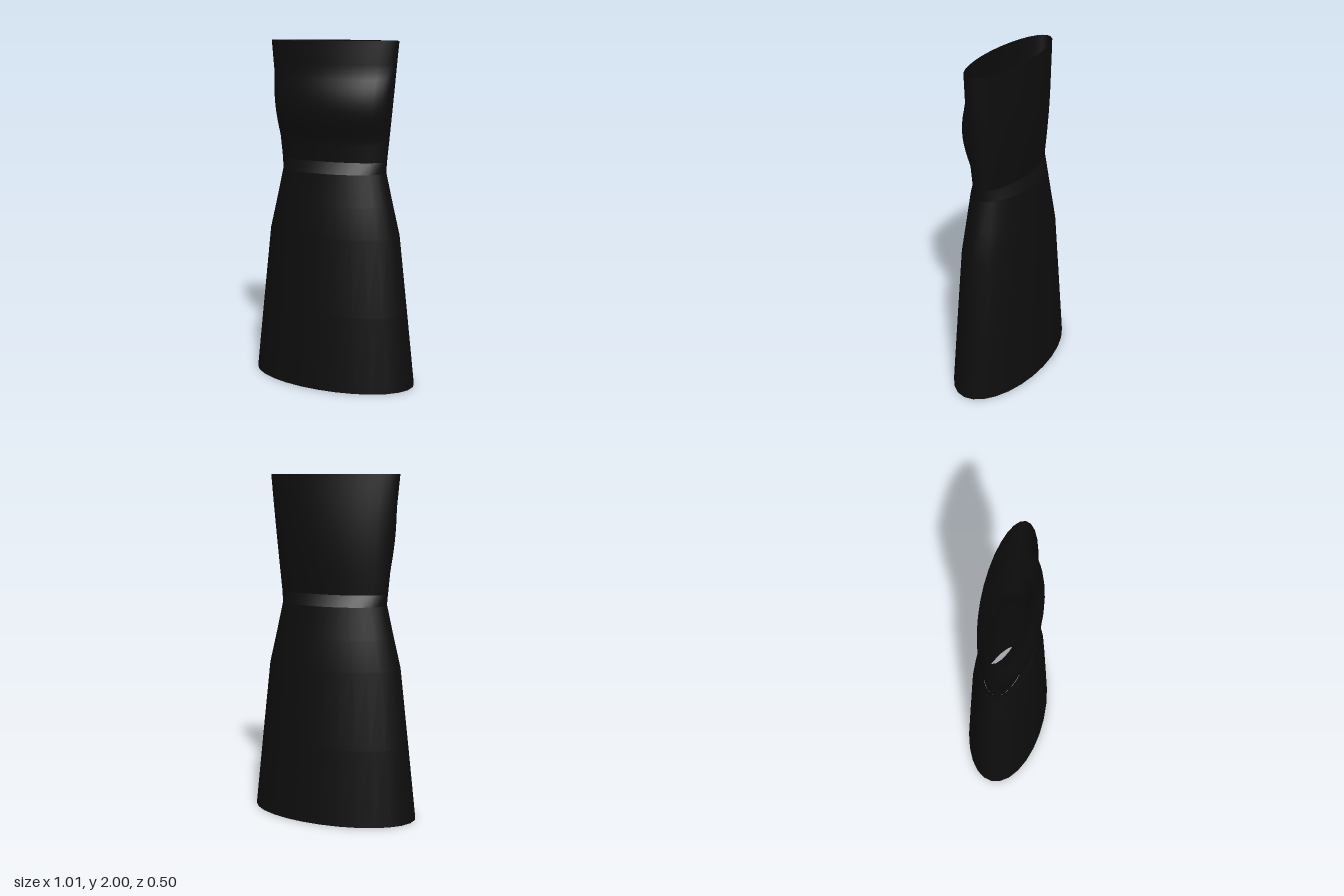
import * as THREE from 'three';

const SEGMENTS = 28;

// Open elliptical tube from rings [y, halfWidth, halfDepth, frontOffset], bottom to top
function loft(rings) {
  const positions = [], index = [];
  for (const [y, a, b, push = 0] of rings) {
    for (let i = 0; i < SEGMENTS; i++) {
      const t = (i / SEGMENTS) * Math.PI * 2;
      // The bust pushes the front half forward, fading quickly at the side seams
      const front = THREE.MathUtils.clamp(Math.sin(t) * 4, 0, 1);
      positions.push(a * Math.cos(t), y, b * Math.sin(t) + push * front);
    }
  }
  for (let r = 0; r < rings.length - 1; r++) {
    for (let i = 0; i < SEGMENTS; i++) {
      const j = (i + 1) % SEGMENTS;
      const p = r * SEGMENTS + i, q = r * SEGMENTS + j;
      index.push(p, p + SEGMENTS, q, q, p + SEGMENTS, q + SEGMENTS);
    }
  }
  const geometry = new THREE.BufferGeometry();
  geometry.setAttribute('position', new THREE.Float32BufferAttribute(positions, 3));
  geometry.setIndex(index);
  geometry.computeVertexNormals();
  return geometry;
}

export function createModel() {
  const model = new THREE.Group();
  model.name = 'dress';
  const fabric = new THREE.MeshStandardMaterial({ color: 0x0d0d0d, side: THREE.DoubleSide });
  fabric.name = 'black fabric';

  const add = (name, rings) => {
    const mesh = new THREE.Mesh(loft(rings), fabric);
    mesh.name = name;
    model.add(mesh);
  };

  // Flared skirt, open at the hem
  add('skirt', [
    [0, 0.503, 0.251],
    [0.45, 0.452, 0.226],
    [0.9, 0.4, 0.2],
    [1.08, 0.357, 0.179],
    [1.265, 0.315, 0.157],
  ]);

  // Short step from the skirt up to the narrower bodice
  add('waist', [
    [1.265, 0.315, 0.157],
    [1.33, 0.322, 0.124],
  ]);

  // Bodice widening to the open neckline, with a rounded bust at the front
  const bodice = [];
  const steps = 16;
  for (let i = 0; i <= steps; i++) {
    const k = i / steps;
    const y = 1.33 + 0.67 * k;
    const bust = THREE.MathUtils.clamp((y - 1.455) / 0.37, 0, 1);
    bodice.push([
      y,
      0.322 + 0.063 * k,
      0.121 + 0.018 * Math.sin(Math.PI * k),
      0.034 * Math.sin(Math.PI * bust),
    ]);
  }
  add('bodice', bodice);

  return model;
}
